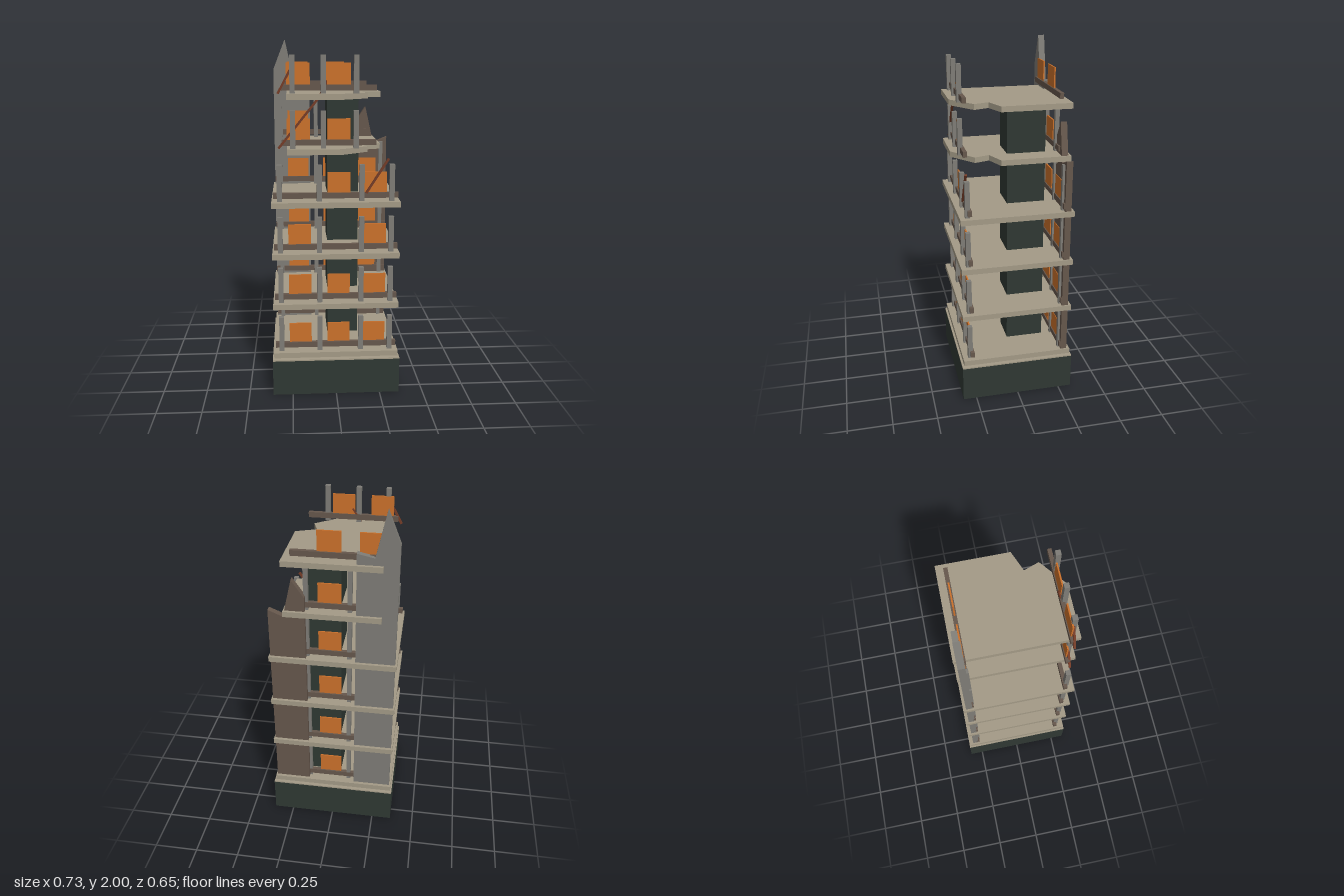
import * as THREE from 'three';

const mat = (name, color) => {
  const m = new THREE.MeshStandardMaterial({ color });
  m.name = name;
  return m;
};

export function createModel() {
  const model = new THREE.Group();
  model.name = 'ruinedTower';

  const dark = mat('darkStone', 0x2f3833);
  const concrete = mat('concrete', 0xa39a86);
  const grey = mat('greyConcrete', 0x7e7c76);
  const brown = mat('brownMasonry', 0x66574c);
  const orange = mat('orangePanel', 0xcb712b);
  const rust = mat('rustedSteel', 0x743c27);

  const add = (parent, name, geometry, material) => {
    const mesh = new THREE.Mesh(geometry, material);
    mesh.name = name;
    parent.add(mesh);
    return mesh;
  };
  // Box given by its extents along each axis
  const box = (parent, name, material, x0, x1, y0, y1, z0, z1) => {
    const g = new THREE.BoxGeometry(x1 - x0, y1 - y0, z1 - z0);
    g.translate((x0 + x1) / 2, (y0 + y1) / 2, (z0 + z1) / 2);
    return add(parent, name, g, material);
  };
  const extrude = (points, depth) => new THREE.ExtrudeGeometry(
    new THREE.Shape(points.map(([x, y]) => new THREE.Vector2(x, y))),
    { depth, bevelEnabled: false });
  // Square bar between two points
  const bar = (parent, name, from, to, size) => {
    const a = new THREE.Vector3(...from), b = new THREE.Vector3(...to);
    const mesh = add(parent, name, new THREE.BoxGeometry(size, size, a.distanceTo(b)), rust);
    mesh.position.copy(a).add(b).multiplyScalar(0.5);
    mesh.lookAt(b);
  };

  // Plinth, its pale cap and the central core
  box(model, 'plinth', dark, -0.363, 0.363, 0, 0.206, -0.327, 0.327);
  box(model, 'plinthCap', concrete, -0.363, 0.363, 0.206, 0.213, -0.327, 0.327);
  box(model, 'core', dark, -0.037, 0.145, 0.213, 1.71, -0.2, 0.018);

  // Broken rear walls with jagged tops
  const rearWall = (name, material, points) => {
    const g = extrude(points, 0.036);
    g.translate(0, 0, -0.3);
    add(model, name, g, material);
  };
  rearWall('greyRearWall', grey, [[-0.345, 0.253], [-0.128, 0.253], [-0.128, 1.77],
    [-0.22, 1.75], [-0.275, 2], [-0.345, 1.825]]);
  rearWall('brownRearWall', brown, [[0.145, 0.253], [0.345, 0.253], [0.345, 1.415],
    [0.263, 1.38], [0.213, 1.6], [0.145, 1.5]]);

  // Broken floor outline, drawn as x and -z
  const brokenOutline = [[-0.264, -0.317], [0.03, -0.317], [0.177, -0.203], [0.147, -0.12],
    [0.262, -0.075], [0.262, 0.317], [-0.264, 0.317]];

  // Panel columns present on each floor: 0 left, 1 middle, 2 right in the front view
  const panelStart = [-0.265, -0.047, 0.155];
  const frontPanels = [[0, 1, 2], [0, 1, 2], [0, 2], [1, 2], [0, 1], [0, 1]];
  const backPanels = [[0, 1, 2], [0, 1, 2], [0, 1, 2], [0, 1, 2], [0, 1], [0, 1]];

  for (let i = 0; i < 6; i++) {
    const floor = new THREE.Group();
    floor.name = 'floor' + (i + 1);
    floor.position.y = 0.222 + i * 0.2915;
    model.add(floor);
    const broken = i > 3;

    // Slab
    if (broken) {
      const g = extrude(brokenOutline, 0.031);
      g.rotateX(-Math.PI / 2);
      add(floor, 'brokenSlab', g, concrete);
    } else {
      box(floor, 'slab', concrete, -0.355, 0.353, 0, 0.031, -0.317, 0.317);
    }

    // Rails along the front and back
    const x0 = broken ? -0.292 : -0.345, x1 = broken ? 0.218 : 0.345;
    box(floor, 'frontRail', brown, x0, x1, 0.046, 0.077, 0.253, 0.275);
    box(floor, 'backRail', brown, x0, x1, 0.046, 0.077, -0.277, -0.255);

    // Front posts, standing free of the slab above
    for (const x of broken ? [-0.233, -0.068, 0.108] : [-0.31, -0.092, 0.142, 0.308])
      box(floor, 'frontPost', grey, x - 0.014, x + 0.014, 0.031, 0.233, 0.26, 0.287);

    // Back posts, reaching the slab above
    if (i < 5) {
      for (const x of broken ? [-0.31, -0.092, 0.142] : [-0.31, -0.092, 0.142, 0.308])
        box(floor, 'backPost', grey, x - 0.012, x + 0.012, 0.031, 0.2915, -0.276, -0.251);
    }

    // Panels above the rails
    for (const p of frontPanels[i])
      box(floor, 'frontPanel', orange, panelStart[p], panelStart[p] + 0.126, 0.075, 0.19, 0.258, 0.266);
    for (const p of backPanels[i])
      box(floor, 'backPanel', orange, panelStart[p], panelStart[p] + 0.126, 0.075, 0.19, -0.269, -0.261);
  }

  // Bent steel bars
  bar(model, 'steelBar', [0.166, 1.17, 0.274], [0.288, 1.36, 0.274], 0.012);
  bar(model, 'steelBar', [-0.31, 1.42, 0.274], [-0.095, 1.685, 0.274], 0.012);
  bar(model, 'steelBar', [-0.31, 1.71, 0.272], [-0.24, 1.84, 0.272], 0.012);
  bar(model, 'steelBar', [-0.092, 1.69, 0.276], [-0.036, 1.79, 0.25], 0.01);

  return model;
}
